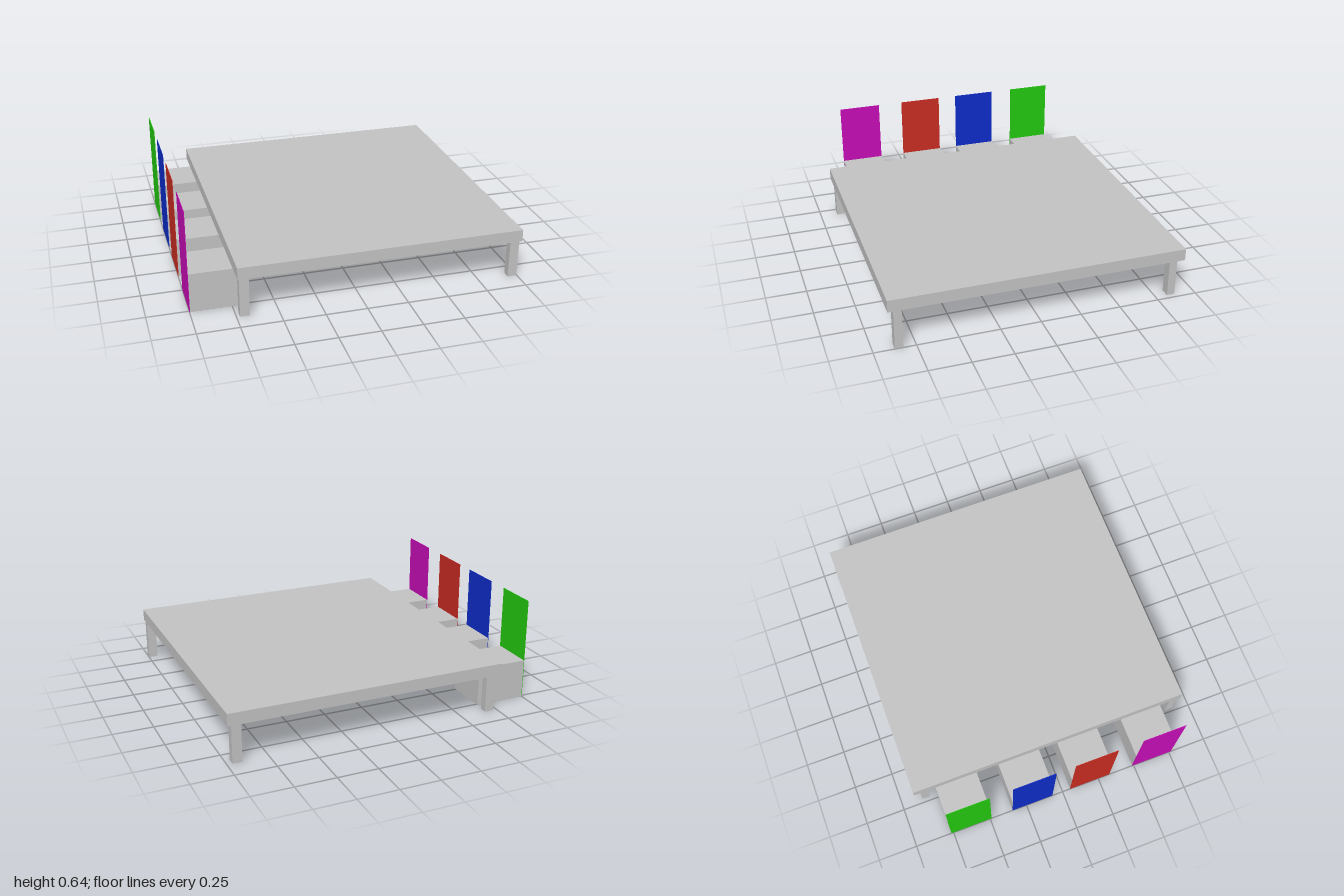
import * as THREE from 'three';

const mat = (name, color) => {
  const m = new THREE.MeshStandardMaterial({ color });
  m.name = name;
  return m;
};

// Box given by its minimum and maximum on each axis
function block(name, material, [x0, x1], [y0, y1], [z0, z1]) {
  const mesh = new THREE.Mesh(new THREE.BoxGeometry(x1 - x0, y1 - y0, z1 - z0), material);
  mesh.position.set((x0 + x1) / 2, (y0 + y1) / 2, (z0 + z1) / 2);
  mesh.name = name;
  return mesh;
}

export function createModel() {
  const model = new THREE.Group();
  model.name = 'tableWithChairs';
  const grey = mat('light grey', 0xc4c4c4);

  // Table: slab and four slightly uneven legs
  const table = new THREE.Group();
  table.name = 'table';
  table.add(block('tableTop', grey, [-0.74, 1], [0.25, 0.325], [-0.907, 0.907]));
  const legs = [
    [0.94, 0.826], [0.91, -0.874], [-0.73, 0.84], [-0.725, -0.865],
  ];
  for (const [x, z] of legs) {
    table.add(block('tableLeg', grey, [x, x + 0.058], [0, 0.25], [z, z + 0.049]));
  }
  model.add(table);

  // Chairs: block seat with a thin coloured back reaching the floor
  const chairs = [
    ['magenta', 0xc80eb8, 0.49],
    ['red', 0xca2d23, 0.053],
    ['blue', 0x0e2dca, -0.345],
    ['green', 0x24ca10, -0.765],
  ];
  for (const [name, color, z] of chairs) {
    const chair = new THREE.Group();
    chair.name = name + 'Chair';
    const span = [z, z + 0.274];
    chair.add(block('seat', grey, [-0.997, -0.673], [0.002, 0.248], span));
    chair.add(block('chairBack', mat(name, color), [-1, -0.997], [0, 0.642], span));
    model.add(chair);
  }
  return model;
}
